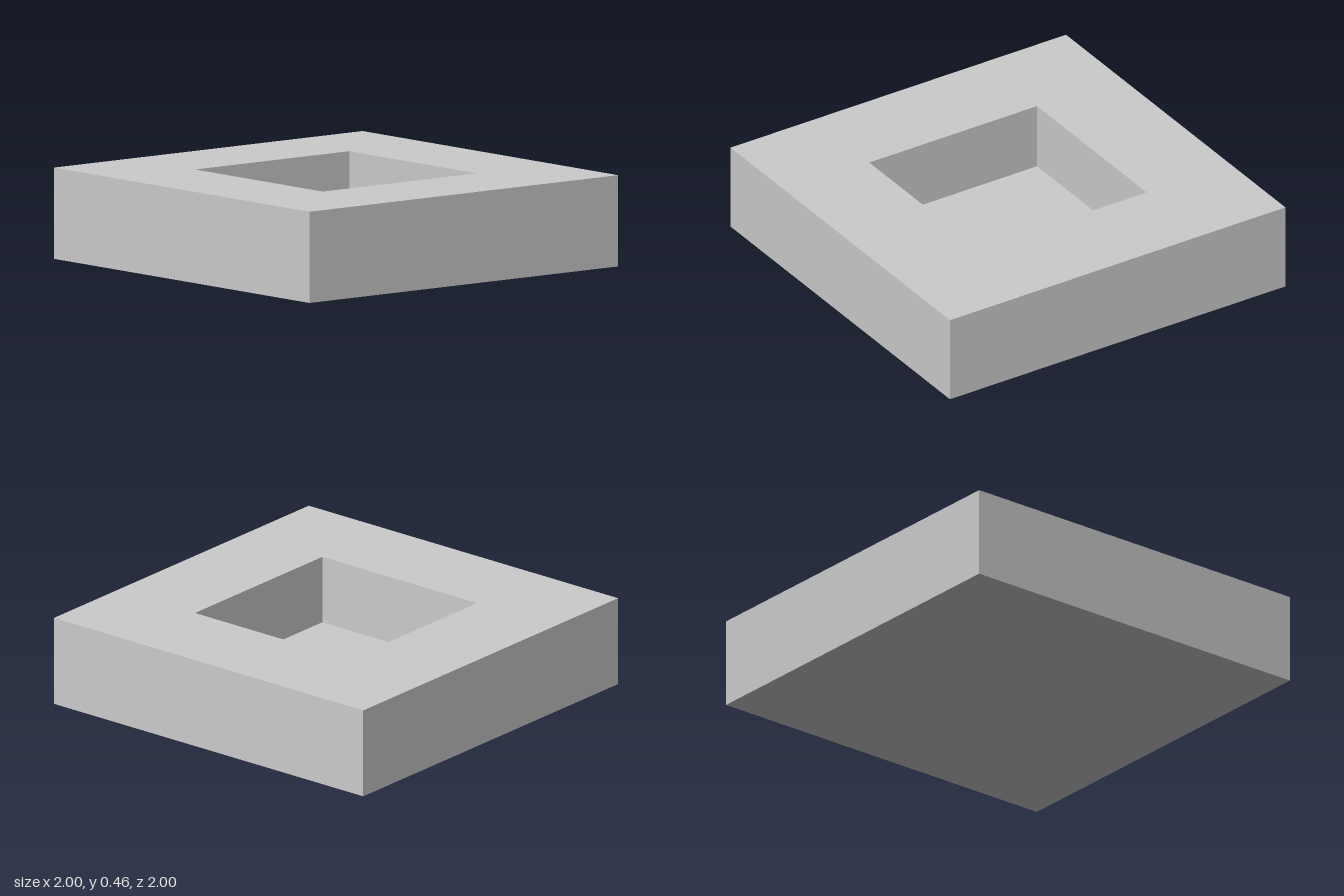
import * as THREE from 'three';

export function createModel() {
  const group = new THREE.Group();
  group.name = 'squareTray';

  // Half-section of the block: [half width, height], from the bottom centre
  // out, up the side, over the rim and down into the pocket
  const section = [[0, 0], [1, 0], [1, 0.46], [0.5, 0.46], [0.5, 0.11], [0, 0.11]];
  const points = section.map(([half, y]) => new THREE.Vector2(half * Math.SQRT2, y));

  // Four-sided lathe, turned so that its flat sides face the axes
  const geometry = new THREE.LatheGeometry(points, 4, Math.PI / 4).toNonIndexed();
  geometry.computeVertexNormals();

  const block = new THREE.Mesh(
    geometry,
    new THREE.MeshStandardMaterial({ color: 0xcccccc, flatShading: true })
  );
  block.name = 'blockWithPocket';
  group.add(block);
  return group;
}
